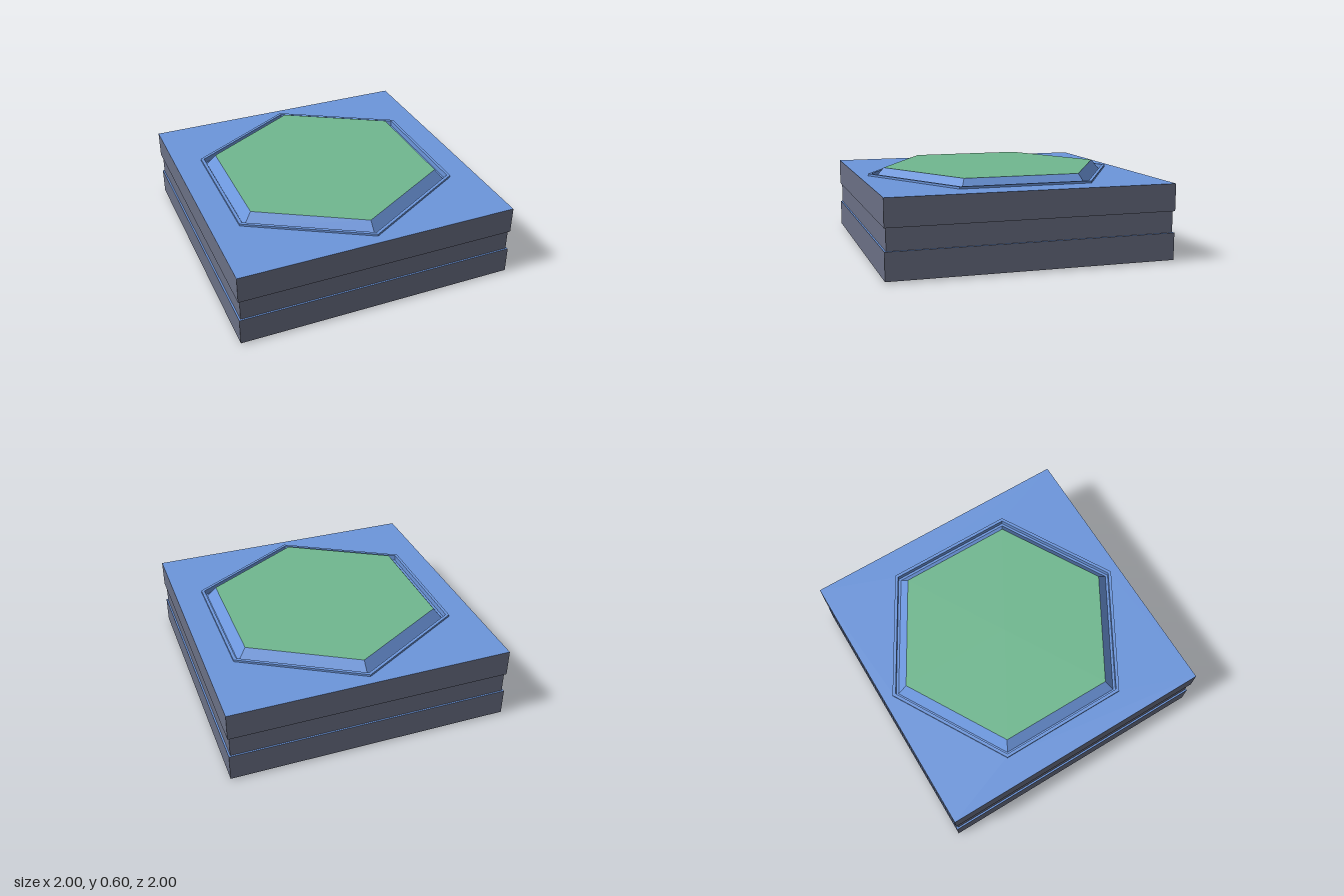
import * as THREE from 'three';

const paint = (color) => new THREE.MeshStandardMaterial({ color, flatShading: true });

// Unit outlines as [x, z], running front-left to front-right and round
const hexagon = Array.from({ length: 6 }, (_, i) => [Math.sin(i * Math.PI / 3), Math.cos(i * Math.PI / 3)]);
const square = [[-1, 1], [1, 1], [1, -1], [-1, -1]];
const k = 0.89;
const octagon = [[-k, 1], [k, 1], [1, k], [1, -k], [k, -1], [-k, -1], [-1, -k], [-1, k]];

// Carries a profile of [scale, y] points round an outline, with flat facets
function sweep(outline, profile) {
  const positions = [];
  const n = outline.length;
  const point = (i, j) => {
    const [s, y] = profile[i];
    const [x, z] = outline[j % n];
    return [x * s, y, z * s];
  };
  for (let i = 0; i < profile.length - 1; i++) {
    for (let j = 0; j < n; j++) {
      const a = point(i, j), b = point(i, j + 1), c = point(i + 1, j + 1), d = point(i + 1, j);
      if (profile[i][0] > 0) positions.push(...a, ...b, ...c);
      if (profile[i + 1][0] > 0) positions.push(...a, ...c, ...d);
      else if (profile[i][0] > 0) continue;
    }
  }
  const geometry = new THREE.BufferGeometry();
  geometry.setAttribute('position', new THREE.Float32BufferAttribute(positions, 3));
  geometry.computeVertexNormals();
  return geometry;
}

const scaled = (outline, sx, sy = sx, ox = 0, oy = 0) =>
  outline.map(([x, y]) => new THREE.Vector2(x * sx + ox, y * sy + oy));

// Square plate from y0 to y1 with holes through it
function plate(y0, y1, holes) {
  const shape = new THREE.Shape(scaled(square, 0.9995));
  shape.holes = holes.map((points) => new THREE.Path(points));
  const geometry = new THREE.ExtrudeGeometry(shape, { depth: y1 - y0, bevelEnabled: false });
  return geometry.rotateX(-Math.PI / 2).translate(0, y0, 0);
}

export function createModel() {
  const group = new THREE.Group();
  const grey = paint(0x6b7085);
  const blue = paint(0x6c96dc);
  const green = paint(0x70b890);
  const add = (name, geometry, material) => {
    const mesh = new THREE.Mesh(geometry, material);
    mesh.name = name;
    group.add(mesh);
    return mesh;
  };

  // Recessed middle of the block
  add('middleBand', new THREE.BoxGeometry(1.976, 0.17, 1.976).translate(0, 0.275, 0), grey);

  // Upper and lower slabs: blue plates wrapped in grey side bands
  const slots = [0, 1, 2, 3].map((i) => {
    const a = i * Math.PI / 2;
    const alongX = i % 2 === 0;
    return { x: 0.915 * Math.sin(a), z: 0.915 * Math.cos(a), w: alongX ? 0.25 : 0.015, d: alongX ? 0.015 : 0.25 };
  });
  add('upperSlab', plate(0.35, 0.54, [scaled(hexagon, 0.92)]), blue);
  add('upperSides', sweep(square, [[1, 0.35], [1, 0.54]]), grey);
  add('lowerSlab', plate(0.01, 0.2, [
    scaled(octagon, 0.8),
    ...slots.map((s) => scaled(square, s.w, s.d, s.x, -s.z)),
  ]), blue);
  add('lowerSides', sweep(square, [[1, 0.01], [1, 0.2]]), grey);

  // Hexagonal rim, groove and sloping pedestal on top
  add('topFrame', sweep(hexagon, [
    [0.93, 0.54], [0.93, 0.555], [0.905, 0.555], [0.905, 0.515], [0.885, 0.515], [0.815, 0.595],
  ]), blue);
  add('topPanel', sweep(hexagon, [[0.815, 0.595], [0, 0.595]]), green);

  // Chamfered rim, groove and panel underneath
  add('bottomFrame', sweep(octagon, [
    [0, 0.01], [0.75, 0.01], [0.765, 0.03], [0.785, 0.03], [0.785, 0], [0.81, 0], [0.81, 0.01],
  ]), blue);

  // Green floors of the four slots underneath
  slots.forEach((s) => {
    add('slotFloor', new THREE.BoxGeometry(2 * s.w, 0.02, 2 * s.d).translate(s.x, 0.03, s.z), green);
  });
  return group;
}
